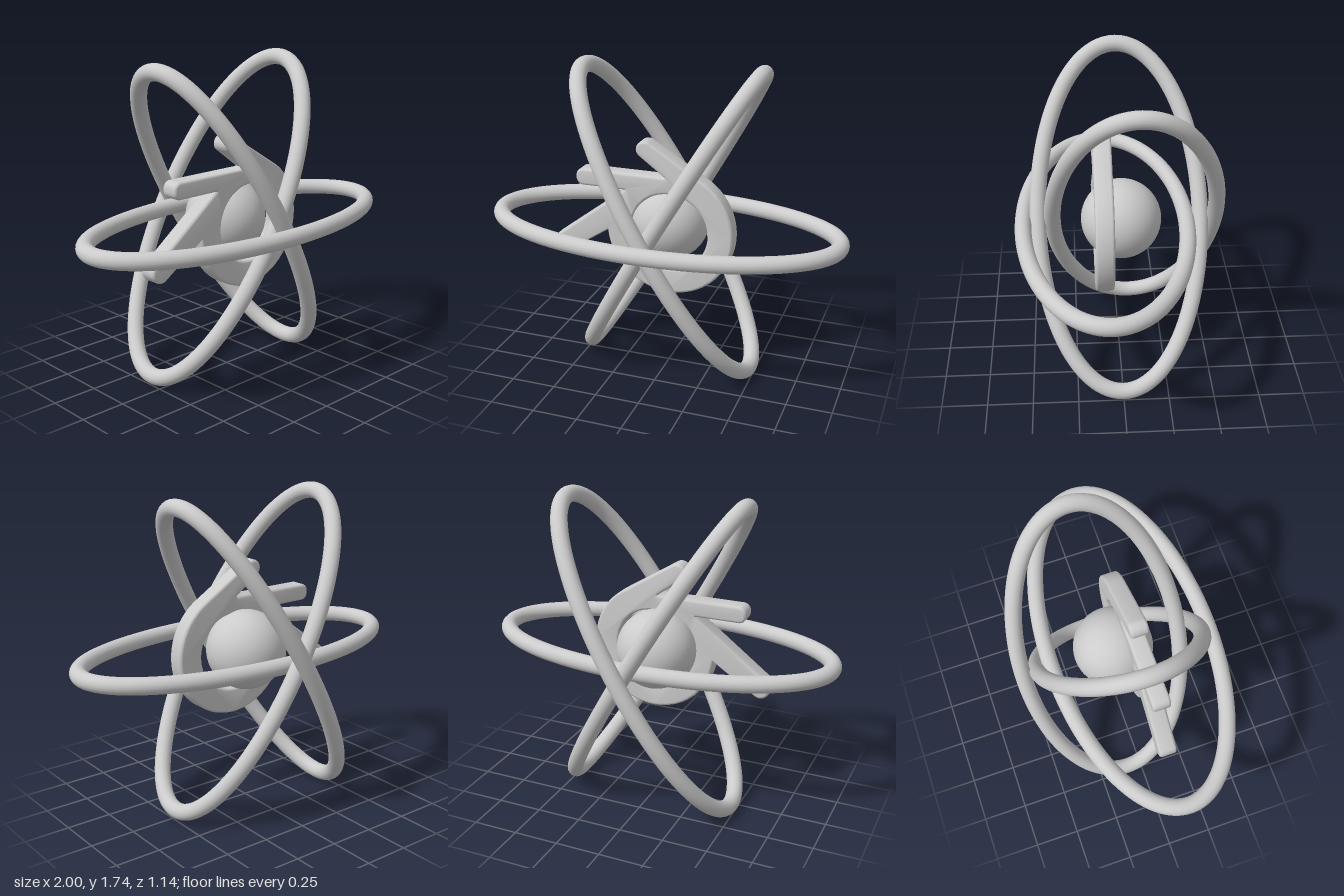
import * as THREE from 'three';
import { toCreasedNormals } from 'three/addons/utils/BufferGeometryUtils.js';

const material = new THREE.MeshStandardMaterial({ color: 0xcccccc });
const CENTER_Y = 0.875;

// Flat ellipse in the XZ plane, swept by the orbit tubes
class OrbitCurve extends THREE.Curve {
  getPoint(t, target = new THREE.Vector3()) {
    const a = t * Math.PI * 2;
    return target.set(0.955 * Math.cos(a), 0, 0.445 * Math.sin(a));
  }
}

// Draw an open polyline with its corners rounded: each point is [x, y, radius]
function roundedPath(shape, points) {
  for (let i = 1; i < points.length - 1; i++) {
    const p = new THREE.Vector2(points[i][0], points[i][1]);
    const toward = (q) => new THREE.Vector2(q[0], q[1]).sub(p).setLength(points[i][2]).add(p);
    const a = toward(points[i - 1]);
    const b = toward(points[i + 1]);
    // Control points pulled towards the corner give a near-circular fillet
    const c1 = a.clone().lerp(p, 0.55);
    const c2 = b.clone().lerp(p, 0.55);
    shape.lineTo(a.x, a.y);
    shape.bezierCurveTo(c1.x, c1.y, c2.x, c2.y, b.x, b.y);
  }
}

// Ring plate with three swept bars on its upper left
function emblemGeometry() {
  const cx = 0.045, cy = 0.858, outer = 0.355, inner = 0.215;
  const start = THREE.MathUtils.degToRad(185);
  const end = THREE.MathUtils.degToRad(56);
  const onCircle = (a) => [cx + outer * Math.cos(a), cy + outer * Math.sin(a)];

  const shape = new THREE.Shape();
  shape.moveTo(...onCircle(start));
  shape.absarc(cx, cy, outer, start, end + Math.PI * 2, false);
  roundedPath(shape, [
    onCircle(end),
    [-0.105, 1.368, 0.044], [-0.158, 1.295, 0.044],   // upper bar end
    [0.02, 1.163, 0.004],
    [-0.487, 1.163, 0.04], [-0.487, 1.07, 0.04],      // middle bar end
    [-0.205, 1.07, 0.004],
    [-0.657, 0.728, 0.05], [-0.592, 0.638, 0.05],     // lower bar end
    onCircle(start),
  ]);
  shape.closePath();

  const hole = new THREE.Path();
  hole.absarc(cx, cy, inner, 0, Math.PI * 2, true);
  shape.holes.push(hole);

  const bevel = 0.014;
  const geometry = new THREE.ExtrudeGeometry(shape, {
    depth: 0.1 - 2 * bevel, curveSegments: 40,
    bevelSize: bevel, bevelThickness: bevel, bevelOffset: -bevel, bevelSegments: 3,
  });
  geometry.translate(0, 0, 0.04 + bevel);
  return toCreasedNormals(geometry, 0.7);
}

export function createModel() {
  const model = new THREE.Group();
  const add = (name, geometry) => {
    const mesh = new THREE.Mesh(geometry, material);
    mesh.name = name;
    model.add(mesh);
    return mesh;
  };

  // Nucleus
  add('nucleus', new THREE.SphereGeometry(0.22, 48, 32)).position.set(0, CENTER_Y, -0.01);

  // Three elliptical orbits, staggered in depth
  const orbit = new THREE.TubeGeometry(new OrbitCurve(), 160, 0.045, 20, true);
  [
    ['horizontalOrbit', 0, 0.08],
    ['leftLeaningOrbit', Math.PI / 3, -0.08],
    ['rightLeaningOrbit', -Math.PI / 3, 0],
  ].forEach(([name, tilt, z]) => {
    const ring = add(name, orbit);
    ring.position.set(0, CENTER_Y, z);
    ring.rotation.z = tilt;
  });

  // Plate around the nucleus
  add('emblemPlate', emblemGeometry());

  return model;
}
